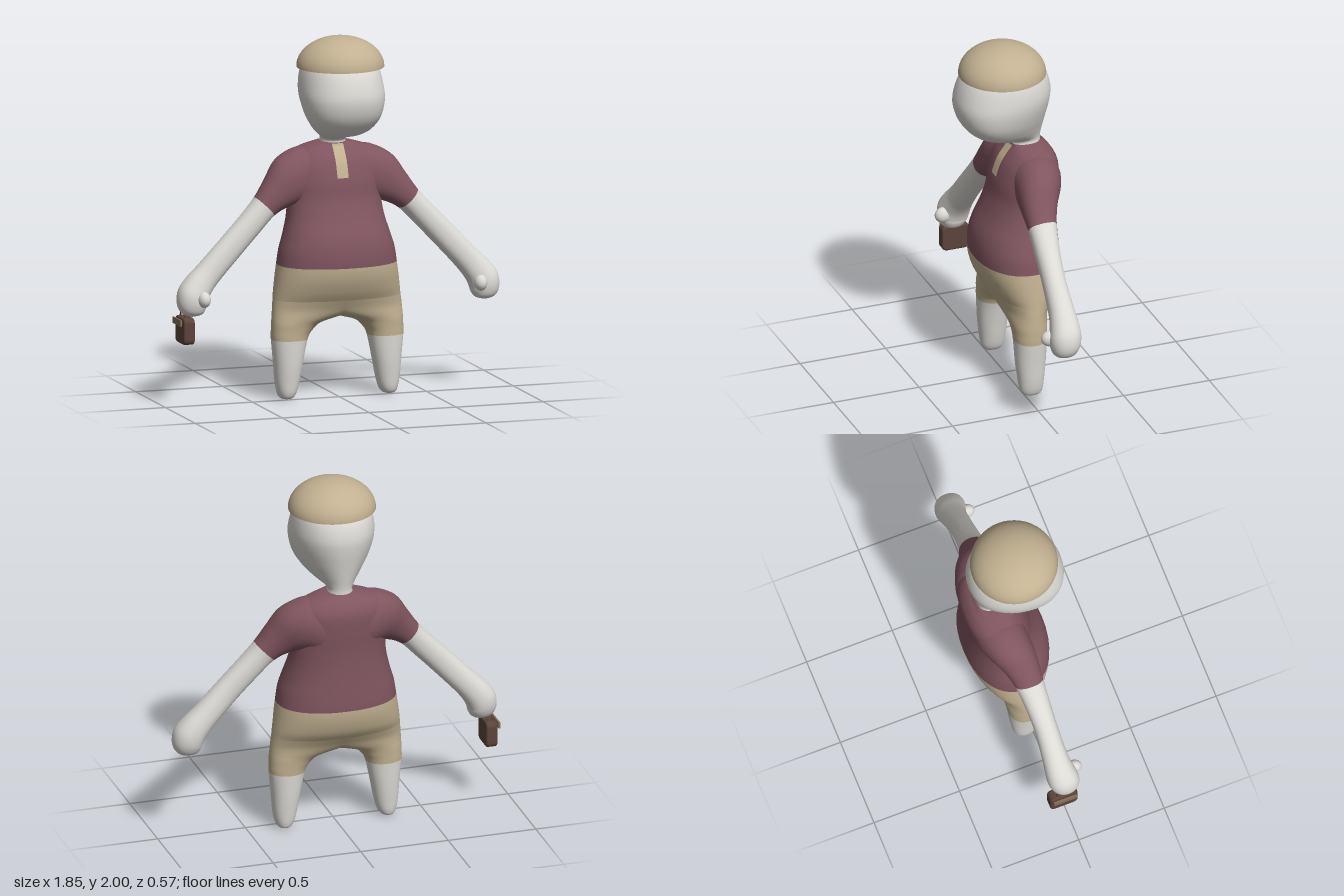
import * as THREE from 'three';

const mat = (name, color, side = THREE.FrontSide) => {
  const m = new THREE.MeshStandardMaterial({ color, side });
  m.name = name;
  return m;
};

const STEPS = 5, SIDES = 40, POWER = 2 / 2.2;
const soft = (c) => Math.sign(c) * Math.abs(c) ** POWER;

// Section rows are [cx, cy, cz, ux, uy, vz, egg]; Catmull-Rom fills in between them.
function smoothRows(rows) {
  const out = [];
  for (let i = 0; i < rows.length - 1; i++) {
    const a = rows[Math.max(i - 1, 0)], b = rows[i], c = rows[i + 1], d = rows[Math.min(i + 2, rows.length - 1)];
    for (let k = 0; k < STEPS; k++) {
      const t = k / STEPS;
      out.push(b.map((_, n) => 0.5 * (2 * b[n] + (c[n] - a[n]) * t
        + (2 * a[n] - 5 * b[n] + 4 * c[n] - d[n]) * t * t
        + (3 * b[n] - a[n] - 3 * c[n] + d[n]) * t * t * t)));
    }
  }
  out.push(rows[rows.length - 1]);
  return out;
}

// Skin the rows; spans = [[last row index, material], ...]; side = -1 mirrors in x.
function loft(name, rows, spans, side = 1) {
  const rings = smoothRows(rows), pos = [], index = [];
  for (const [cx, cy, cz, ux, uy, vz, egg] of rings) {
    for (let j = 0; j < SIDES; j++) {
      const t = (j / SIDES) * Math.PI * 2;
      const c = soft(Math.cos(t)) * (1 + egg * Math.sin(t)), s = soft(Math.sin(t));
      pos.push(side * (cx + ux * c), cy + uy * c, cz + vz * s);
    }
  }
  for (let i = 0; i < rings.length - 1; i++) {
    for (let j = 0; j < SIDES; j++) {
      const a = i * SIDES + j, b = i * SIDES + (j + 1) % SIDES, c = a + SIDES, d = b + SIDES;
      if (side > 0) index.push(a, c, b, b, c, d);
      else index.push(a, b, c, b, d, c);
    }
  }
  const geo = new THREE.BufferGeometry();
  geo.setAttribute('position', new THREE.Float32BufferAttribute(pos, 3));
  geo.setIndex(index);
  geo.computeVertexNormals();
  let from = 0;
  spans.forEach(([row], n) => {
    const to = row * STEPS * SIDES * 6;
    geo.addGroup(from, to - from, n);
    from = to;
  });
  const mesh = new THREE.Mesh(geo, spans.map((s) => s[1]));
  mesh.name = name;
  return mesh;
}

// Upright section: height, x range, front z, back z
const level = (y, x0, x1, zf, zb, egg = 0) =>
  [(x0 + x1) / 2, y, (zf + zb) / 2, (x1 - x0) / 2, 0, (zf - zb) / 2, egg];
const even = (y, hw, zf, zb, egg) => level(y, -hw, hw, zf, zb, egg);
// Arm section: centre, slope in degrees, radius, z centre, z radius
const limb = (x, y, deg, r, z, rz) => {
  const a = THREE.MathUtils.degToRad(deg);
  return [x, y, z, r * Math.sin(a), r * Math.cos(a), -rz, 0];
};

export function createModel() {
  const group = new THREE.Group();
  const skin = mat('pale skin', 0xdcdad5);
  const maroon = mat('maroon cloth', 0x80555f);
  const tan = mat('tan cloth', 0xc2b191, THREE.DoubleSide);
  const brown = mat('brown leather', 0x5c443a);
  const taupe = mat('taupe trim', 0x86705a);
  const add = (parent, name, geo, material, x, y, z) => {
    const m = new THREE.Mesh(geo, material);
    m.name = name;
    m.position.set(x, y, z);
    parent.add(m);
    return m;
  };

  // Torso: shorts below the waist, shirt above
  const torso = [
    even(0.55, 0.362, 0.11, -0.21), even(0.6, 0.356, 0.14, -0.245), even(0.67, 0.346, 0.168, -0.27),
    even(0.74, 0.335, 0.18, -0.28), even(0.82, 0.322, 0.178, -0.277), even(0.9, 0.298, 0.16, -0.272),
    even(1.0, 0.272, 0.115, -0.268), even(1.1, 0.262, 0.08, -0.27), even(1.2, 0.265, 0.063, -0.277),
    even(1.3, 0.255, 0.03, -0.278), even(1.36, 0.21, -0.01, -0.25), even(1.39, 0.13, -0.032, -0.215),
    even(1.402, 0.07, -0.04, -0.195), even(1.403, 0, -0.11, -0.12),
  ];
  group.add(loft('torso', torso, [[3, tan], [13, maroon]]));

  // Placket strip lying on the shirt front
  const rings = smoothRows(torso);
  const frontZ = (x, y) => {
    const i = rings.findIndex((r) => r[1] >= y), a = rings[i - 1], b = rings[i];
    const at = (r) => r[2] + r[5] * (1 - Math.min(1, Math.abs(x / r[3])) ** 2.2) ** (1 / 2.2);
    return THREE.MathUtils.lerp(at(a), at(b), (y - a[1]) / (b[1] - a[1]));
  };
  const strip = new THREE.PlaneGeometry(0.064, 0.178, 6, 24).translate(0, 1.309, 0);
  const p = strip.attributes.position;
  for (let i = 0; i < p.count; i++) p.setZ(i, frontZ(p.getX(i), p.getY(i)) + 0.006);
  strip.computeVertexNormals();
  add(group, 'placket', strip, tan, 0, 0, 0);

  // Head and neck
  group.add(loft('head', [
    even(1.38, 0.075, -0.03, -0.2), even(1.415, 0.067, -0.032, -0.2), even(1.437, 0.082, 0.02, -0.202, 0.1),
    even(1.46, 0.115, 0.12, -0.206, 0.22), even(1.5, 0.155, 0.2, -0.214, 0.25),
    even(1.57, 0.198, 0.258, -0.228, 0.2), even(1.66, 0.224, 0.285, -0.245, 0.1),
    even(1.74, 0.225, 0.276, -0.25, 0.03), even(1.83, 0.206, 0.24, -0.226), even(1.89, 0.165, 0.18, -0.175),
    even(1.94, 0.09, 0.09, -0.09), even(1.955, 0, 0.01, 0),
  ], [[11, skin]]));

  // Domed cap
  add(group, 'cap', new THREE.SphereGeometry(0.24, 48, 20, 0, Math.PI * 2, 0, Math.PI / 2), tan, 0, 1.833, 0.015)
    .scale.y = 0.167 / 0.24;

  // Legs widen upward to meet the torso, leaving the arch between them
  const leg = [
    level(0, 0.295, 0.296, -0.04, -0.041), level(0.006, 0.262, 0.326, 0.005, -0.087),
    level(0.035, 0.24, 0.343, 0.024, -0.103), level(0.1, 0.222, 0.355, 0.034, -0.112),
    level(0.2, 0.203, 0.363, 0.045, -0.122), level(0.33, 0.175, 0.375, 0.051, -0.13),
    level(0.38, 0.147, 0.375, 0.054, -0.134), level(0.42, 0.098, 0.374, 0.06, -0.14),
    level(0.45, -0.01, 0.372, 0.068, -0.15), level(0.5, -0.24, 0.368, 0.085, -0.175),
    level(0.55, -0.362, 0.362, 0.11, -0.21),
  ];
  // Arms from inside the shoulder to a rounded fist
  const arm = [
    limb(0.1, 1.215, 8, 0.165, -0.125, 0.14), limb(0.18, 1.212, 15, 0.162, -0.12, 0.135),
    limb(0.26, 1.19, 30, 0.14, -0.1, 0.122), limb(0.335, 1.135, 42, 0.1, -0.075, 0.098),
    limb(0.412, 1.068, 45, 0.073, -0.06, 0.08), limb(0.5, 0.975, 45, 0.07, -0.05, 0.07),
    limb(0.62, 0.85, 46, 0.071, -0.042, 0.064), limb(0.74, 0.722, 47, 0.073, -0.04, 0.07),
    limb(0.8, 0.655, 51, 0.08, -0.035, 0.08), limb(0.835, 0.6, 62, 0.086, -0.028, 0.087),
    limb(0.844, 0.55, 78, 0.08, -0.024, 0.08), limb(0.843, 0.508, 86, 0.056, -0.02, 0.056),
    limb(0.842, 0.489, 89, 0.001, -0.018, 0.001),
  ];
  for (const s of [1, -1]) {
    const word = s > 0 ? 'left' : 'right';
    group.add(loft(word + 'Leg', leg, [[5, skin], [10, tan]], s));
    group.add(loft(word + 'Arm', arm, [[4, maroon], [12, skin]], s));
    add(group, word + 'Thumb', new THREE.SphereGeometry(0.042, 20, 14), skin, s * 0.795, 0.592, 0.05)
      .scale.set(0.85, 1.05, 1.1);
  }

  // Small pouch hanging from the right hand
  const pouch = new THREE.Group();
  pouch.name = 'pouch';
  pouch.position.set(-0.872, 0.415, -0.045);
  const outline = new THREE.Shape();
  const w = 0.068, h = 0.062, r = 0.02;
  outline.moveTo(-w + r, -h).lineTo(w - r, -h).quadraticCurveTo(w, -h, w, -h + r)
    .lineTo(w, h - r).quadraticCurveTo(w, h, w - r, h).lineTo(-w + r, h)
    .quadraticCurveTo(-w, h, -w, h - r).lineTo(-w, -h + r).quadraticCurveTo(-w, -h, -w + r, -h);
  const body = new THREE.ExtrudeGeometry(outline, {
    depth: 0.044, bevelSize: 0.012, bevelThickness: 0.01, bevelSegments: 3, curveSegments: 6,
  }).translate(0, 0, -0.022).rotateY(Math.PI / 2);
  add(pouch, 'pouchBody', body, brown, 0, 0, 0);
  add(pouch, 'pouchBar', new THREE.BoxGeometry(0.01, 0.035, 0.13), taupe, -0.045, 0.048, 0);
  for (const z of [-0.04, 0.04]) {
    add(pouch, 'pouchTab', new THREE.BoxGeometry(0.026, 0.012, 0.012), brown, -0.034, 0.05, z);
  }
  for (const x of [-0.014, 0.014]) {
    add(pouch, 'pouchHandle', new THREE.TorusGeometry(0.038, 0.005, 8, 20, Math.PI).rotateY(Math.PI / 2),
      brown, x, 0.068, 0);
  }
  group.add(pouch);
  return group;
}
